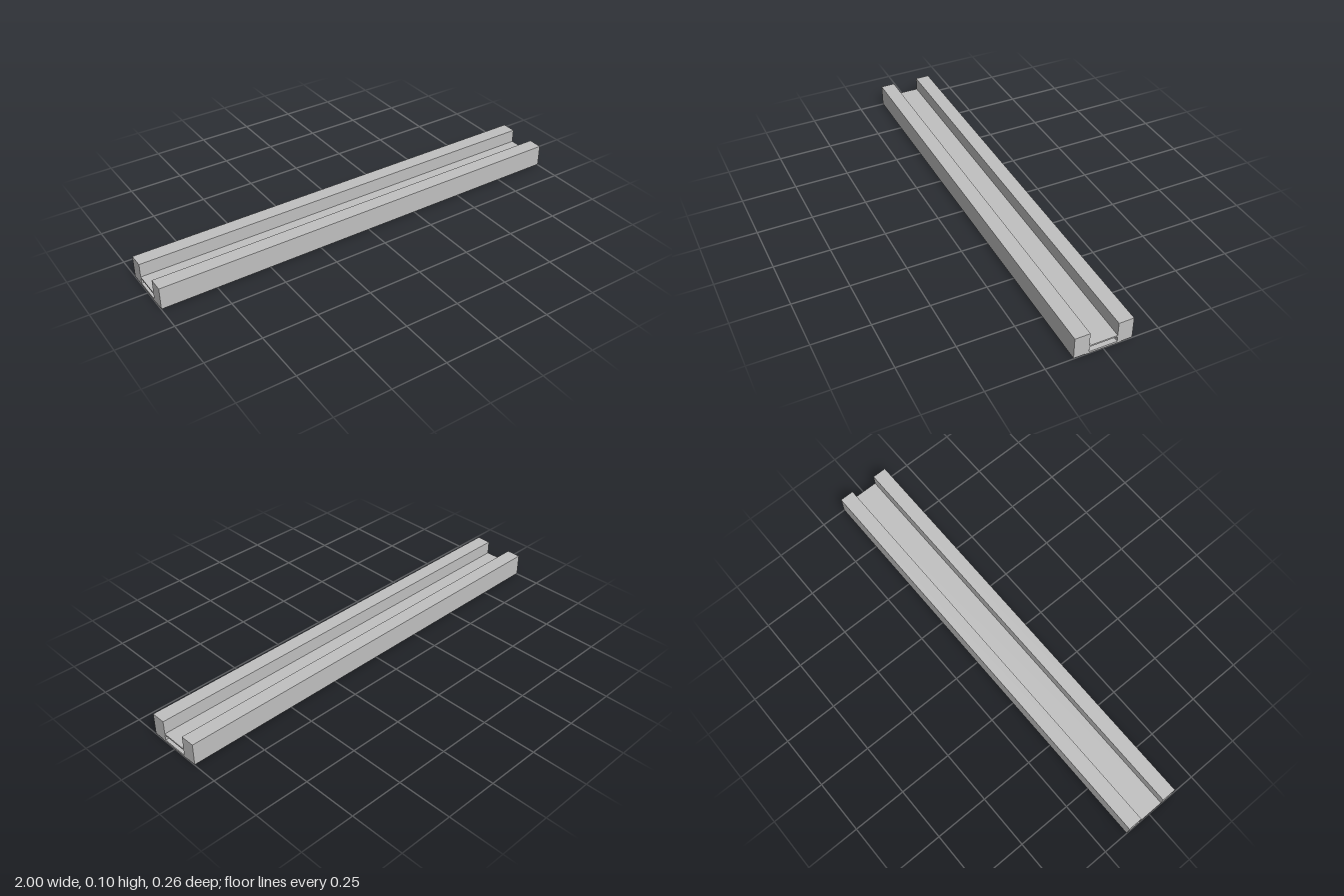
import * as THREE from 'three';

export function createModel() {
  const group = new THREE.Group();
  const grey = new THREE.MeshStandardMaterial({ color: 0xc0c0c0 });
  grey.name = 'light grey';

  // full-length bar given by its cross-section limits
  function bar(name, y0, y1, z0, z1) {
    const mesh = new THREE.Mesh(new THREE.BoxGeometry(2, y1 - y0, z1 - z0), grey);
    mesh.name = name;
    mesh.position.set(0, (y0 + y1) / 2, (z0 + z1) / 2);
    group.add(mesh);
  }

  // side rails
  bar('frontRail', 0.003, 0.104, 0.062, 0.129);
  bar('backRail', 0.003, 0.104, -0.129, -0.062);

  // thin shelf between the rails
  bar('shelf', 0.034, 0.041, -0.062, 0.062);

  // base plate, let into the undersides of the rails
  bar('basePlate', 0, 0.009, -0.08, 0.08);

  return group;
}
